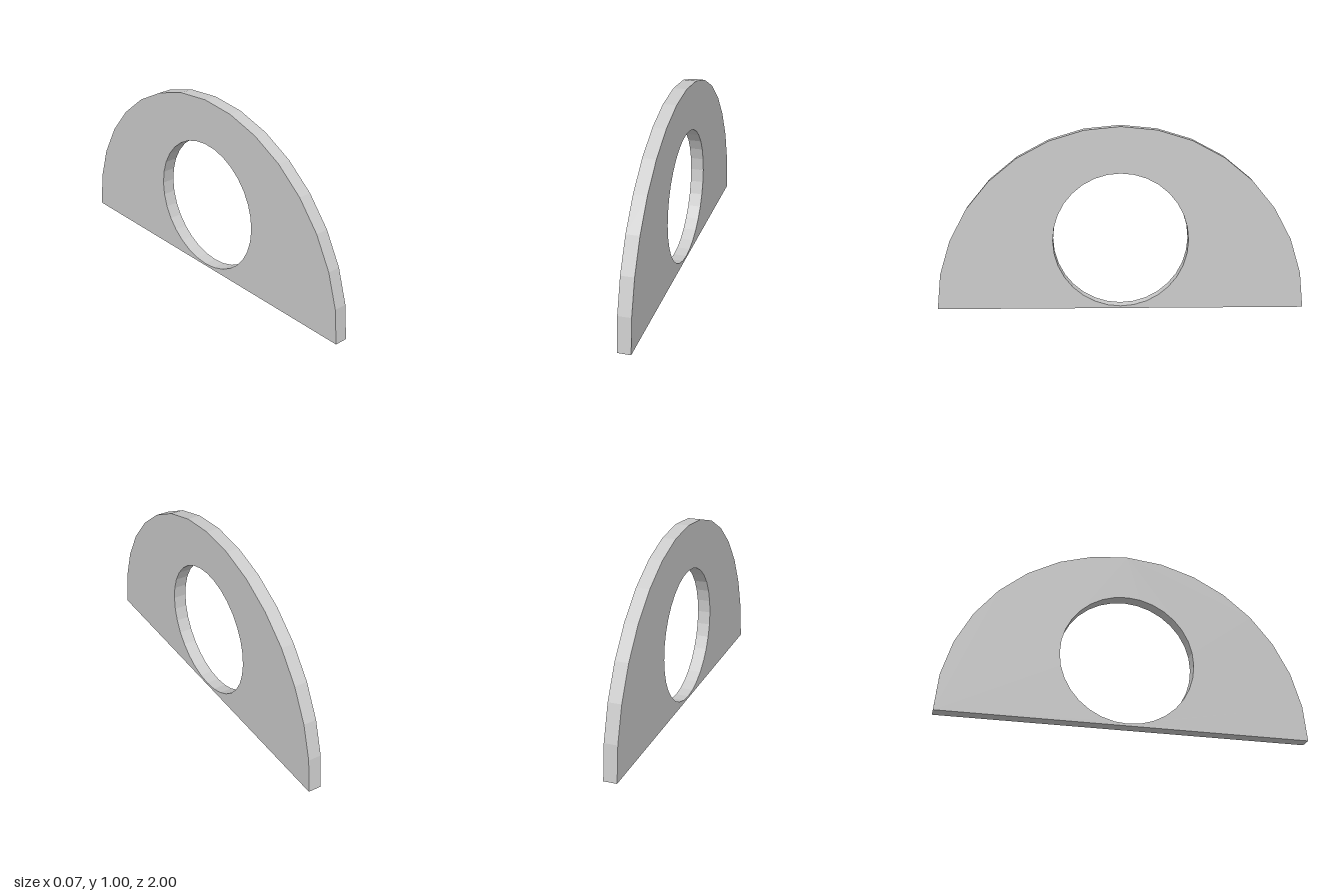
import * as THREE from 'three';

const THICKNESS = 0.072;

// Points along a circular arc about (0, cy), starting at angle 0
function arcPoints(cy, radius, sweep, segments, count) {
  return Array.from({ length: count }, (_, i) => {
    const a = (i / segments) * sweep;
    return new THREE.Vector2(radius * Math.cos(a), cy + radius * Math.sin(a));
  });
}

export function createModel() {
  const group = new THREE.Group();
  group.name = 'archPlate';

  // Half-disc outline, faceted into 16 sides
  const outline = new THREE.Shape(arcPoints(0, 1, Math.PI, 16, 17));

  // Round opening just above the straight edge
  outline.holes.push(new THREE.Path(arcPoints(0.38, 0.368, Math.PI * 2, 32, 32)));

  // Thin plate standing on its straight edge, spanning z
  const geometry = new THREE.ExtrudeGeometry(outline, { depth: THICKNESS, bevelEnabled: false });
  geometry.translate(0, 0, -THICKNESS / 2);
  geometry.rotateY(Math.PI / 2);

  const plate = new THREE.Mesh(
    geometry,
    new THREE.MeshStandardMaterial({ color: 0xcccccc, flatShading: true })
  );
  plate.name = 'halfRoundPlate';
  group.add(plate);
  return group;
}
